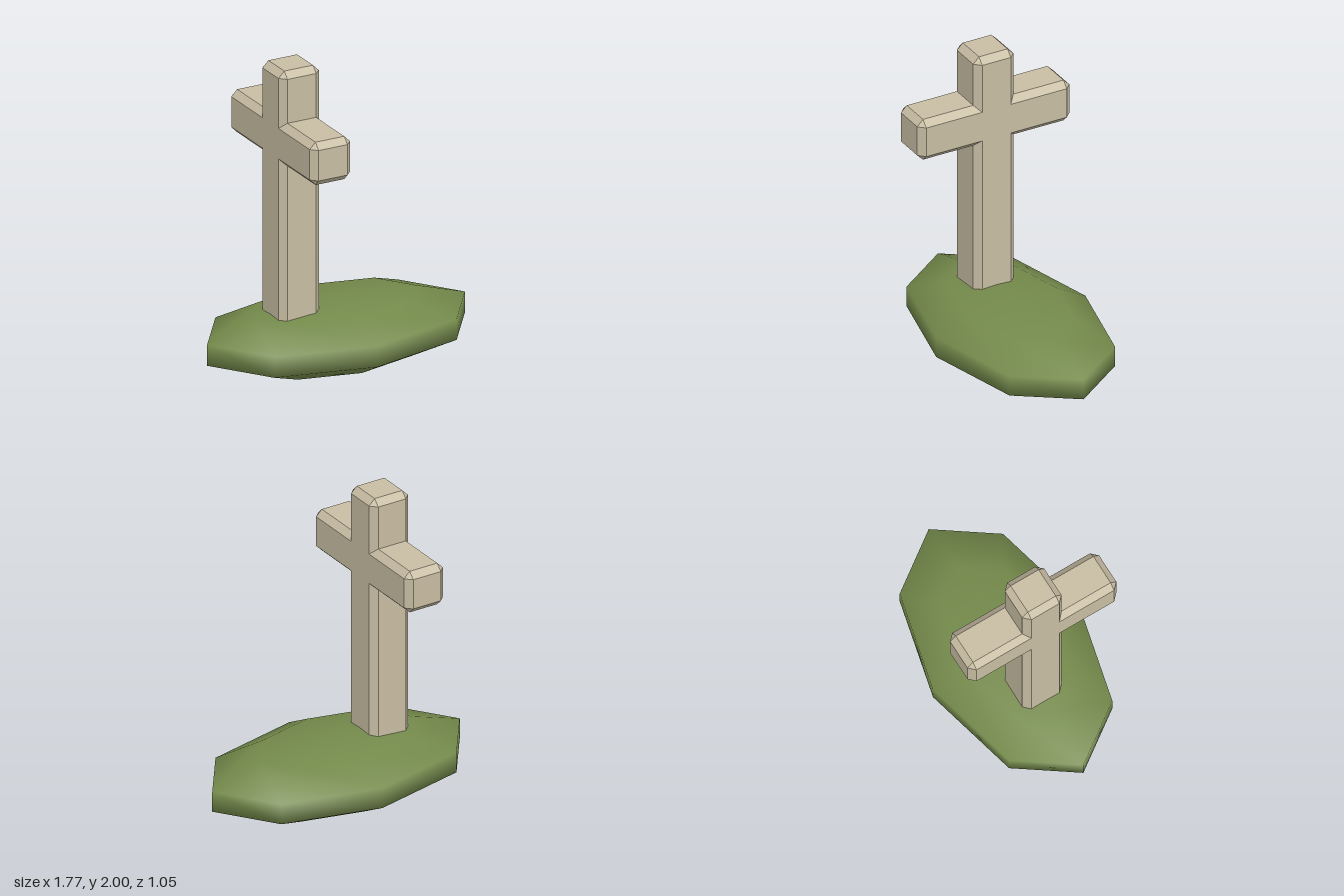
import * as THREE from 'three';
import { ConvexGeometry } from 'three/addons/geometries/ConvexGeometry.js';

// Box with every edge cut by a flat chamfer c (three points per corner)
function chamferBox(w, h, d, c) {
  const points = [];
  for (const sx of [-1, 1]) for (const sy of [-1, 1]) for (const sz of [-1, 1]) {
    for (const [a, b, e] of [[0, c, c], [c, 0, c], [c, c, 0]]) {
      points.push(new THREE.Vector3(sx * (w / 2 - a), sy * (h / 2 - b), sz * (d / 2 - e)));
    }
  }
  return new ConvexGeometry(points);
}

export function createModel() {
  const stone = new THREE.MeshStandardMaterial({ color: 0xc8bda3 });
  stone.name = 'paleStone';
  const grass = new THREE.MeshStandardMaterial({ color: 0x748a4b });
  grass.name = 'mossGreen';

  const model = new THREE.Group();
  model.name = 'graveMarker';

  // Grassy mound: a coarse, smooth-shaded, flattened sphere
  const mound = new THREE.Mesh(new THREE.SphereGeometry(1, 8, 5).scale(0.93, 0.216, 0.541), grass);
  mound.name = 'mound';
  mound.position.y = 0.219;
  model.add(mound);

  // Stone cross, facing along x: its chamfers mitre where the bars meet
  const cross = new THREE.Group();
  cross.name = 'cross';
  cross.position.x = -0.311;
  const thick = 0.277, chamfer = 0.04, foot = 0.2;

  const upright = new THREE.Mesh(chamferBox(thick, 2 - foot, thick, chamfer), stone);
  upright.name = 'upright';
  upright.position.y = (2 + foot) / 2;

  const crossbar = new THREE.Mesh(chamferBox(thick, thick, 1.049, chamfer), stone);
  crossbar.name = 'crossbar';
  crossbar.position.y = 1.538;

  cross.add(upright, crossbar);
  model.add(cross);
  return model;
}
